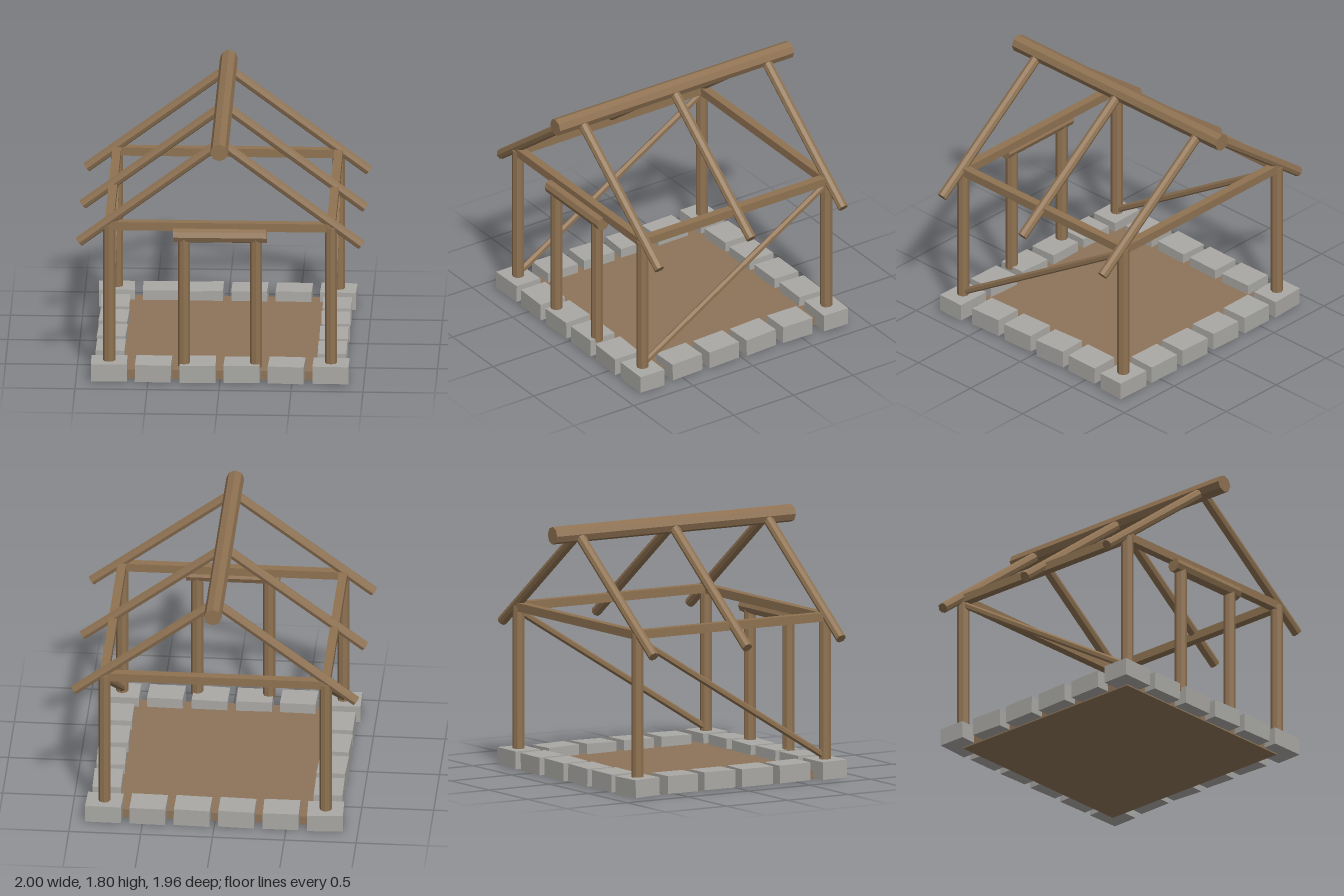
import * as THREE from 'three';

export function createModel() {
  const model = new THREE.Group();
  model.name = 'timberHutFrame';

  const material = (name, color) => {
    const m = new THREE.MeshStandardMaterial({ color, flatShading: true });
    m.name = name;
    return m;
  };
  const wood = material('wood', 0x8f7252);
  const earth = material('earth', 0x8d7459);
  const stone = material('stone', 0xa9a8a4);

  const add = (name, geometry, mat, x, y, z) => {
    const mesh = new THREE.Mesh(geometry, mat);
    mesh.name = name;
    mesh.position.set(x, y, z);
    model.add(mesh);
    return mesh;
  };

  // Faceted log between two points
  const up = new THREE.Vector3(0, 1, 0);
  const log = (name, from, to, radius, sides = 8) => {
    const a = new THREE.Vector3(...from);
    const b = new THREE.Vector3(...to);
    const dir = b.clone().sub(a);
    const mid = a.clone().add(b).multiplyScalar(0.5);
    const geometry = new THREE.CylinderGeometry(radius, radius, dir.length(), sides);
    const mesh = add(name, geometry, wood, mid.x, mid.y, mid.z);
    mesh.quaternion.setFromUnitVectors(up, dir.normalize());
  };

  // Small seeded generator for the uneven stones
  let seed = 7;
  const jitter = (amount) => {
    seed = (seed * 16807) % 2147483647;
    return (seed / 2147483647 - 0.5) * 2 * amount;
  };

  const edge = 0.77; // distance of the walls from the centre

  // Earth floor
  add('floor', new THREE.BoxGeometry(2 * edge, 0.064, 2 * edge), earth, 0, 0.032, 0);

  // Ring of foundation stones
  const stoneGeometry = new THREE.BoxGeometry(0.25, 0.125, 0.2);
  const placeStone = (x, z, turn) => {
    const s = add('foundationStone', stoneGeometry, stone, x, 0.072, z);
    s.rotation.set(jitter(0.025), turn + jitter(0.04), jitter(0.025), 'YXZ');
  };
  for (let i = 0; i < 6; i++) {
    const t = -edge + (i * 2 * edge) / 5;
    for (const side of [-1, 1]) {
      placeStone(t, side * edge, 0);
      if (i > 0 && i < 5) placeStone(side * edge, t, Math.PI / 2);
    }
  }

  for (const side of [-1, 1]) {
    // Corner posts and horizontal beams
    for (const end of [-1, 1]) {
      log('cornerPost', [side * edge, 0.11, end * edge], [side * edge, 1.135, end * edge], 0.043);
    }
    add('wallPlate', new THREE.BoxGeometry(0.06, 0.06, 2 * edge), wood, side * edge, 1.133, 0);
    add('tieBeam', new THREE.BoxGeometry(2 * edge, 0.06, 0.06), wood, 0, 1.13, side * edge);

    // Diagonal wall brace
    log('wallBrace', [side * edge, 0.15, edge], [side * edge, 1.1, -edge], 0.024, 6);

    // Door post
    log('doorPost', [side * 0.25, 0.11, 0.8], [side * 0.25, 1.05, 0.8], 0.043);

    // Rafters
    for (const z of [-edge, 0, edge]) {
      log('rafter', [0, 1.743, z], [side * 0.98, 1.003, z], 0.036);
    }
  }

  // Door lintel and ridge
  log('doorLintel', [-0.325, 1.068, 0.8], [0.325, 1.068, 0.8], 0.05);
  log('ridgeBeam', [0, 1.743, -0.98], [0, 1.743, 0.98], 0.062);

  return model;
}
